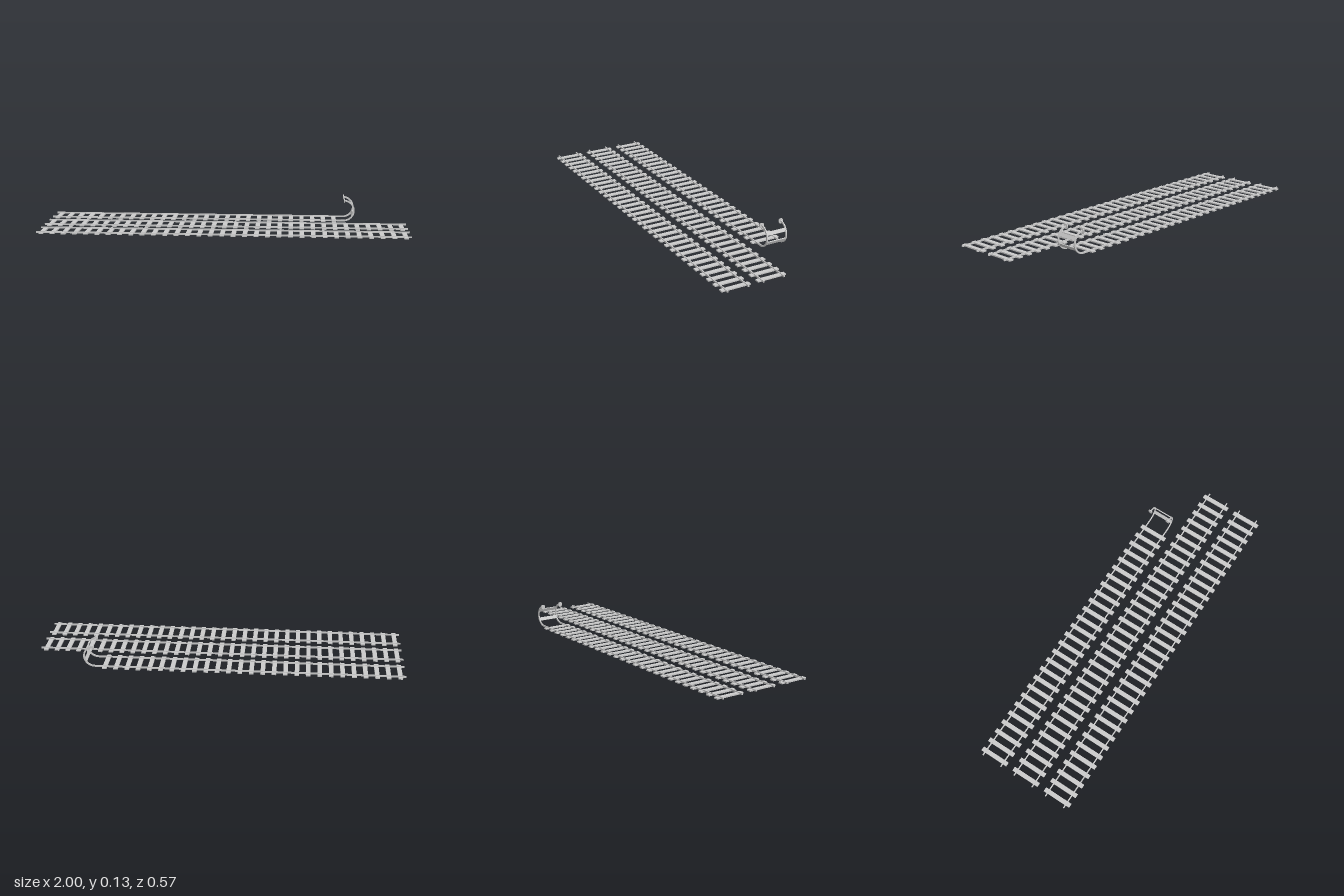
import * as THREE from 'three';

const mat = new THREE.MeshStandardMaterial({ color: 0xcccccc });
const SPACING = 1.94 / 32, GAUGE = 0.058, RAIL_W = 0.006;
const RAIL_LOW = 0.002, RAIL_TOP = 0.011;
// curl of the end stop, in the xy plane
const CX = 0.66, CY = 0.0635, R_OUT = CY - RAIL_LOW, R_IN = CY - RAIL_TOP;

function add(parent, name, geometry, x = 0, y = 0, z = 0) {
  const mesh = new THREE.Mesh(geometry, mat);
  mesh.name = name;
  mesh.position.set(x, y, z);
  parent.add(mesh);
  return mesh;
}

// straight rail, or one that curls up and back at its end
function railGeometry(curled) {
  const s = new THREE.Shape();
  s.moveTo(-1, RAIL_LOW);
  if (curled) {
    s.lineTo(CX, RAIL_LOW);
    s.absarc(CX, CY, R_OUT, -Math.PI / 2, Math.PI / 2, false);
    s.lineTo(CX, CY + R_IN);
    s.absarc(CX, CY, R_IN, Math.PI / 2, -Math.PI / 2, true);
  } else {
    s.lineTo(1, RAIL_LOW);
    s.lineTo(1, RAIL_TOP);
  }
  s.lineTo(-1, RAIL_TOP);
  s.closePath();
  const g = new THREE.ExtrudeGeometry(s, { depth: RAIL_W, bevelEnabled: false, curveSegments: 24 });
  return g.translate(0, 0, -RAIL_W / 2);
}

// rounded buffer plate, facing along x
function bufferGeometry() {
  const w = 0.012, h = 0.0135;
  const s = new THREE.Shape();
  s.moveTo(-w, 0);
  s.bezierCurveTo(-w, h * 0.9, -w * 0.7, h, 0, h);
  s.bezierCurveTo(w * 0.7, h, w, h * 0.9, w, 0);
  s.bezierCurveTo(w * 0.85, -h * 0.8, w * 0.6, -h, 0, -h);
  s.bezierCurveTo(-w * 0.6, -h, -w * 0.85, -h * 0.8, -w, 0);
  const g = new THREE.ExtrudeGeometry(s, { depth: 0.005, bevelEnabled: false, curveSegments: 8 });
  return g.translate(0, 0, -0.0025).rotateY(Math.PI / 2);
}

function createTrack(name, z, tieCount, curled) {
  const track = new THREE.Group();
  track.name = name;
  track.position.z = z;
  const tie = new THREE.BoxGeometry(0.024, 0.007, 0.162);
  for (let i = 0; i < tieCount; i++) add(track, 'tie', tie, -0.97 + i * SPACING, 0.0035, 0);
  const rail = railGeometry(curled);
  for (const side of [-1, 1]) add(track, 'rail', rail, 0, 0, side * GAUGE);
  return track;
}

// buffers and cross plates on the curled rail ends
function createEndStop(z) {
  const stop = new THREE.Group();
  stop.name = 'endStop';
  stop.position.z = z;
  const buffer = bufferGeometry();
  for (const side of [-1, 1]) add(stop, 'buffer', buffer, CX + 0.0035, 0.1195, side * GAUGE);
  const plate = new THREE.BoxGeometry(0.005, 0.02, GAUGE * 2 - RAIL_W);
  for (const side of [-1, 1]) {
    const a = side * 0.49, r = (R_IN + R_OUT) / 2;
    add(stop, 'crossPlate', plate, CX + r * Math.cos(a), CY + r * Math.sin(a), 0).rotation.z = a;
  }
  return stop;
}

export function createModel() {
  const model = new THREE.Group();
  model.name = 'railwayTracks';
  model.add(
    createTrack('frontTrack', 0.203, 33, false),
    createTrack('middleTrack', 0, 33, false),
    createTrack('backTrack', -0.203, 27, true),
    createEndStop(-0.203),
  );
  return model;
}
